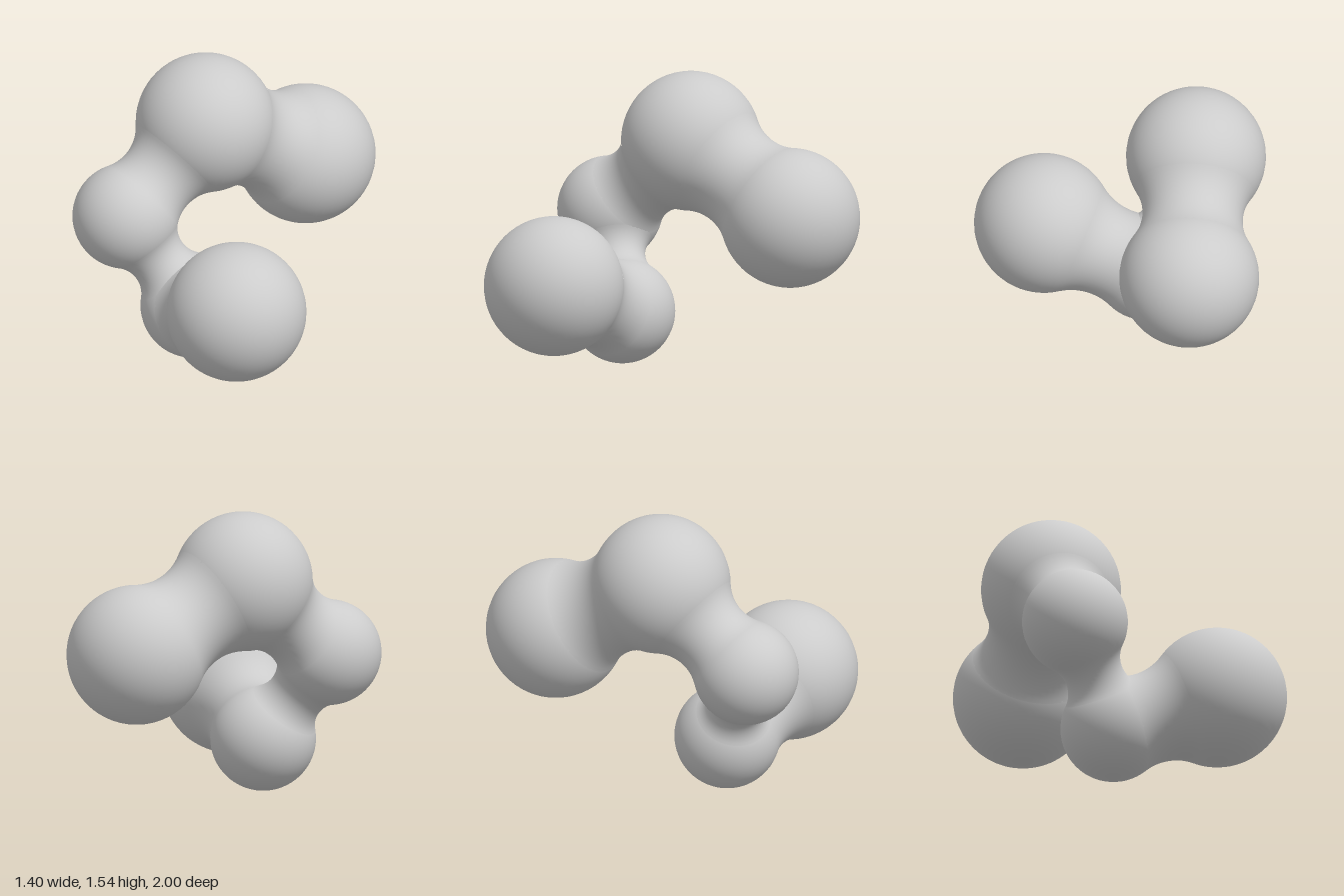
import * as THREE from 'three';

// Chain of balls: position and radius
const BALLS = [
  { name: 'backBall', at: [0.28, 0.825, -0.63], r: 0.37 },
  { name: 'topBall', at: [-0.11, 1.175, -0.14], r: 0.37 },
  { name: 'leftBall', at: [-0.42, 0.76, 0.26], r: 0.28 },
  { name: 'bottomBall', at: [-0.05, 0.28, 0.23], r: 0.28 },
  { name: 'frontBall', at: [0.33, 0.49, 0.63], r: 0.37 },
];
// Fillet radius of the neck between each ball and the next
const FILLETS = [0.3, 0.22, 0.15, 0.3];

// Concave neck of revolution, tangent to both balls
function neckGeometry(r1, r2, d, p) {
  const t = (d * d + (r1 + p) ** 2 - (r2 + p) ** 2) / (2 * d);
  const h = Math.sqrt((r1 + p) ** 2 - t * t);
  const a1 = Math.atan2(-h, -t);
  const a2 = Math.atan2(-h, d - t);
  const profile = [];
  for (let i = 0; i <= 16; i++) {
    const a = a1 + ((a2 - a1) * i) / 16;
    profile.push(new THREE.Vector2(h + p * Math.sin(a), t + p * Math.cos(a)));
  }
  return new THREE.LatheGeometry(profile, 48);
}

export function createModel() {
  const group = new THREE.Group();
  group.name = 'ballChain';
  const material = new THREE.MeshStandardMaterial({ color: 0xcccccc });
  const up = new THREE.Vector3(0, 1, 0);

  // Balls
  for (const { name, at, r } of BALLS) {
    const ball = new THREE.Mesh(new THREE.SphereGeometry(r, 48, 32), material);
    ball.name = name;
    ball.position.set(...at);
    group.add(ball);
  }

  // Necks blending neighbouring balls
  FILLETS.forEach((p, i) => {
    const a = BALLS[i], b = BALLS[i + 1];
    const start = new THREE.Vector3(...a.at);
    const axis = new THREE.Vector3(...b.at).sub(start);
    const neck = new THREE.Mesh(neckGeometry(a.r, b.r, axis.length(), p), material);
    neck.name = `neck${i + 1}`;
    neck.position.copy(start);
    neck.quaternion.setFromUnitVectors(up, axis.normalize());
    group.add(neck);
  });

  return group;
}
